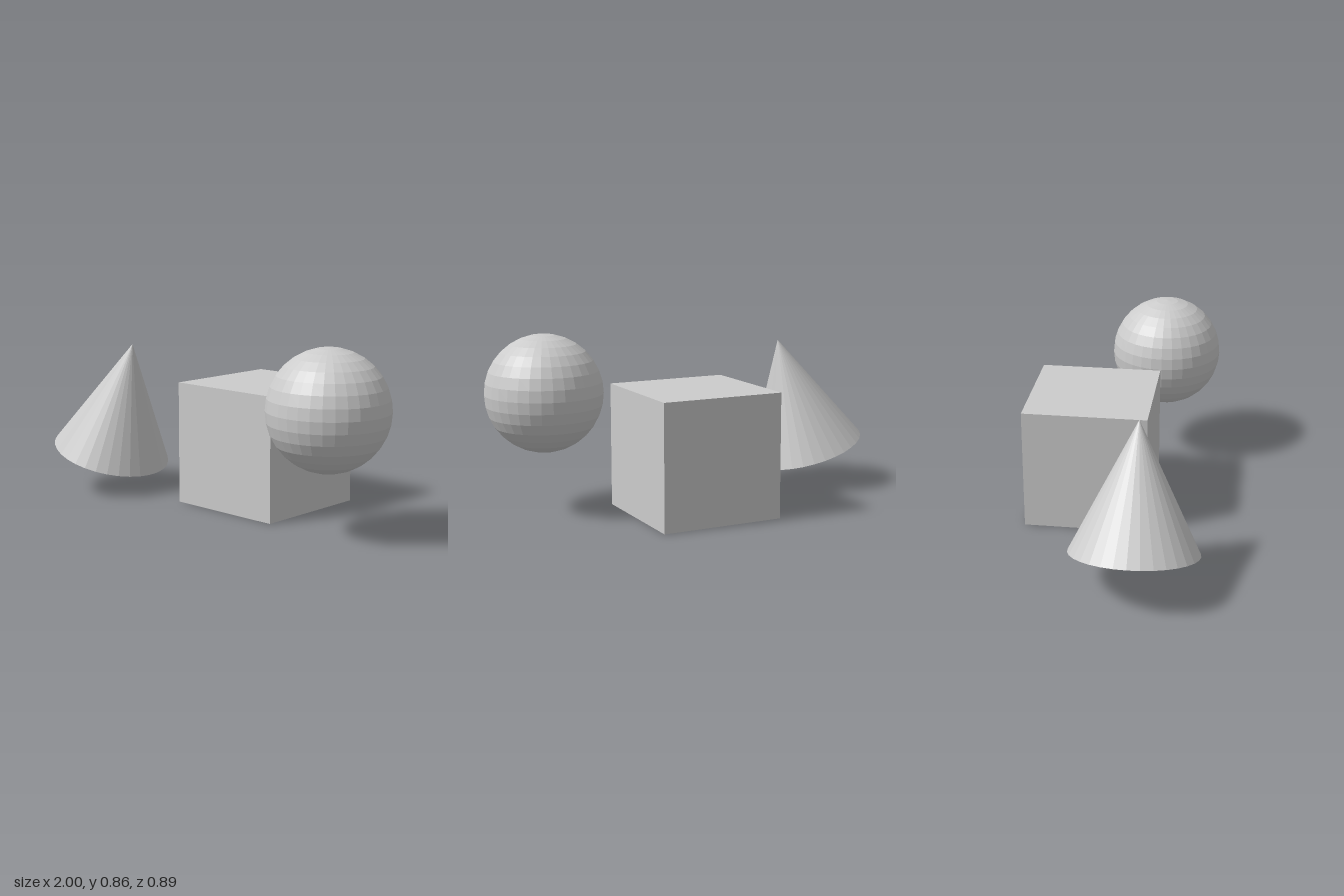
import * as THREE from 'three';

export function createModel() {
  const model = new THREE.Group();
  const material = new THREE.MeshStandardMaterial({ color: 0xcccccc, flatShading: true });

  const add = (name, geometry, x, y, z) => {
    const mesh = new THREE.Mesh(geometry, material);
    mesh.name = name;
    mesh.position.set(x, y, z);
    model.add(mesh);
    return mesh;
  };

  // Cube resting on the ground
  const size = 0.597;
  add('cube', new THREE.BoxGeometry(size, size, size), 0.084, size / 2, -0.149);

  // Floating faceted sphere
  add('sphere', new THREE.SphereGeometry(0.279, 32, 16), 0.72, 0.576, 0.149);

  // Floating cone, tipped toward the cube
  const cone = add('cone', new THREE.ConeGeometry(0.297, 0.595, 32), -0.63, 0.47, 0.149);
  cone.rotation.z = -0.291;

  return model;
}
